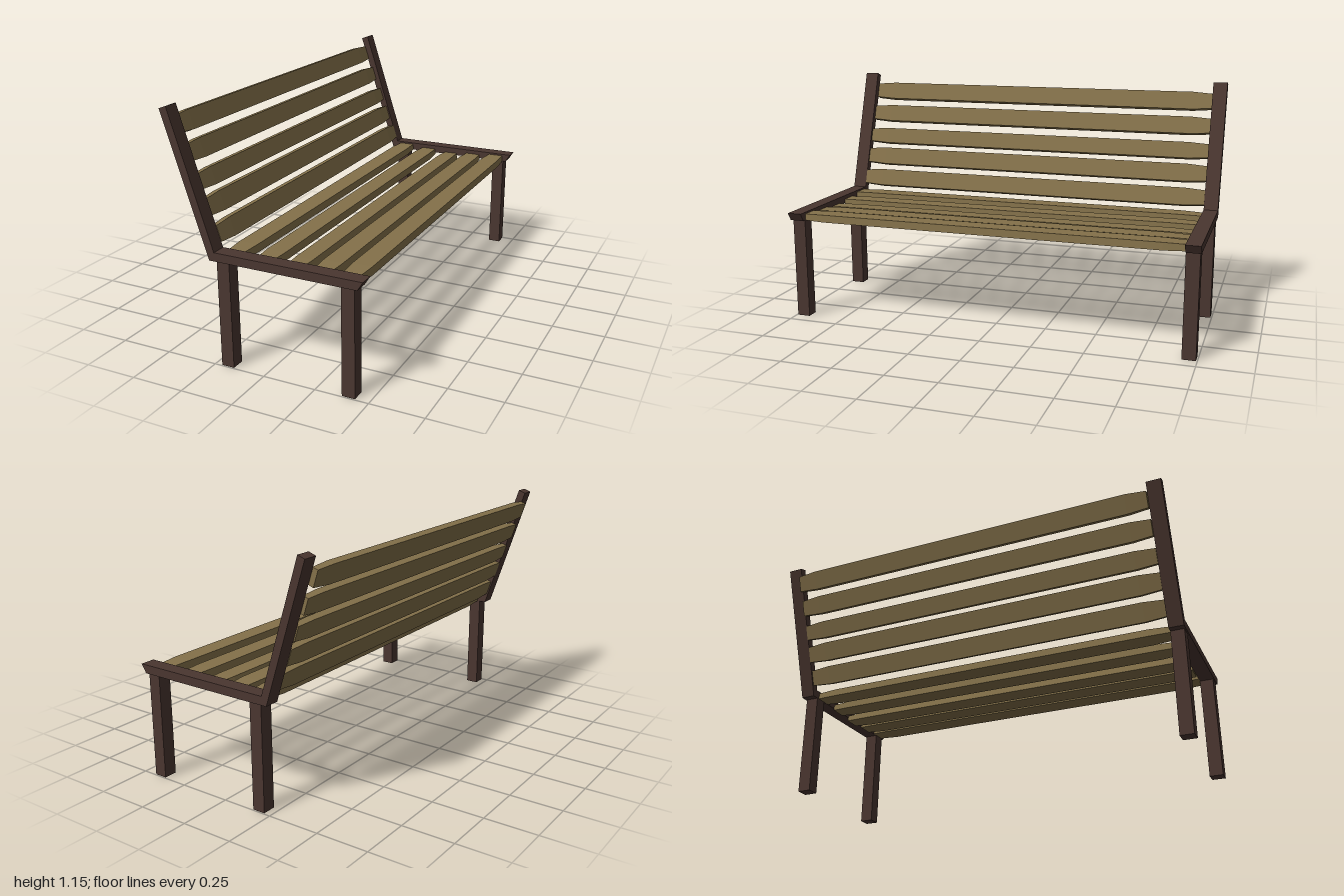
import * as THREE from 'three';

const frameMat = new THREE.MeshStandardMaterial({ color: 0x4a3630 });
const woodMat = new THREE.MeshStandardMaterial({ color: 0x84714a });

// Plank along z: slightly narrower on its upper face and tapered at both ends
function slat(name, x, y, width, thickness, angle, topScale = 0.92) {
  const geo = new THREE.BoxGeometry(1, 1, 3, 1, 1, 3);
  const p = geo.attributes.position;
  for (let i = 0; i < p.count; i++) {
    const z = p.getZ(i);
    const end = Math.abs(z) > 1;
    const w = width * (end ? 0.84 : 1) * (p.getY(i) > 0 ? topScale : 1);
    const t = thickness * (end ? 0.85 : 1);
    p.setXYZ(i, p.getX(i) * w, p.getY(i) * t, Math.sign(z) * (end ? 0.93 : 0.83));
  }
  const flat = geo.toNonIndexed();
  flat.computeVertexNormals();
  const mesh = new THREE.Mesh(flat, woodMat);
  mesh.name = name;
  mesh.position.set(x, y, 0);
  mesh.rotation.z = angle;
  return mesh;
}

// Seat rail and leaning back post in one bent piece, plus two legs
function sideFrame(side) {
  const group = new THREE.Group();
  group.name = side > 0 ? 'leftSideFrame' : 'rightSideFrame';
  const outline = [
    [-0.25, 0.495], [0.45, 0.495], [0.475, 0.535], [-0.225, 0.535],
    [-0.426, 1.15], [-0.461, 1.137],
  ].map(([x, y]) => new THREE.Vector2(x, y));
  const geo = new THREE.ExtrudeGeometry(new THREE.Shape(outline), { depth: 0.07, bevelEnabled: false });
  geo.translate(0, 0, side > 0 ? 0.93 : -1);
  const rail = new THREE.Mesh(geo, frameMat);
  rail.name = 'railAndBackPost';
  group.add(rail);

  for (const [name, x] of [['backLeg', -0.186], ['frontLeg', 0.405]]) {
    const leg = new THREE.Mesh(new THREE.BoxGeometry(0.061, 0.5, 0.064), frameMat);
    leg.name = name;
    leg.position.set(x, 0.25, side * 0.962);
    group.add(leg);
  }
  return group;
}

export function createModel() {
  const bench = new THREE.Group();
  bench.name = 'bench';
  for (const side of [1, -1]) bench.add(sideFrame(side));

  // Seat slats, dipping towards the middle
  const seat = new THREE.Group();
  seat.name = 'seat';
  [
    [-0.162, 0.511], [-0.021, 0.5], [0.117, 0.49], [0.253, 0.5], [0.39, 0.511],
  ].forEach(([x, y], i) => seat.add(slat('seatSlat' + (i + 1), x, y, 0.099, 0.036, 0, i === 2 ? 0.85 : 0.93)));
  bench.add(seat);

  // Back slats, leaning with the posts and set at slightly different depths
  const back = new THREE.Group();
  back.name = 'backrest';
  const lean = -Math.PI / 2 + 0.318;
  [
    [-0.257, 0.589, 0.092], [-0.304, 0.702, 0.094], [-0.344, 0.81, 0.086],
    [-0.394, 0.93, 0.092], [-0.443, 1.05, 0.094],
  ].forEach(([x, y, w], i) => back.add(slat('backSlat' + (i + 1), x, y, w, 0.036, lean, 0.95)));
  bench.add(back);
  return bench;
}
